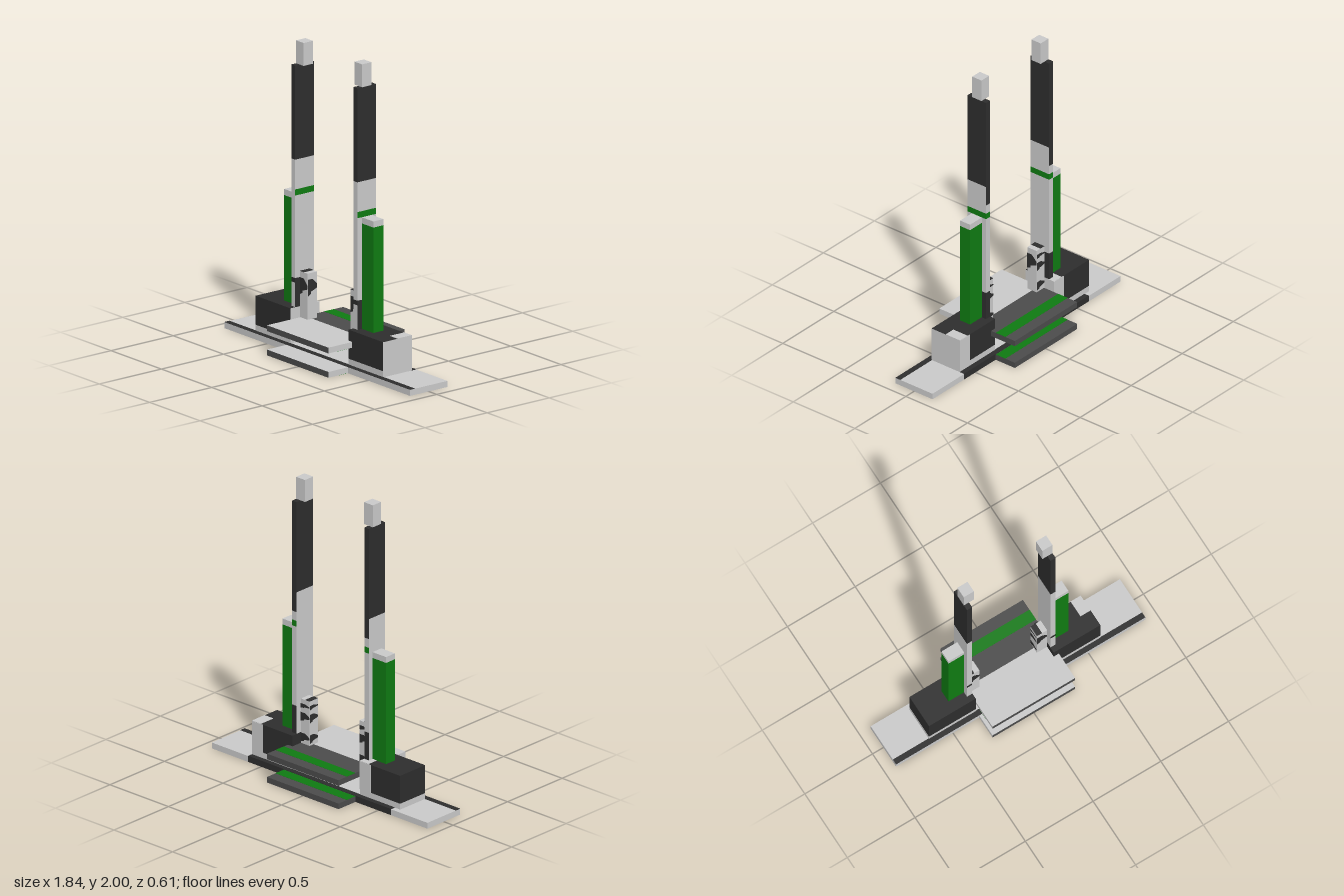
import * as THREE from 'three';

const mat = (name, color) => {
  const m = new THREE.MeshStandardMaterial({ color });
  m.name = name;
  return m;
};

export function createModel() {
  const root = new THREE.Group();
  root.name = 'twinMastPlatform';
  const L = mat('light grey', 0xc9c9c9);
  const D = mat('charcoal', 0x2d2d2d);
  const M = mat('mid grey', 0x4b4b4b);
  const G = mat('green', 0x0f7a12);

  // Box from ranges; m is one material or six (+x, -x, +y, -y, +z, -z)
  const box = (parent, name, [x0, x1], [y0, y1], [z0, z1], m) => {
    const mesh = new THREE.Mesh(new THREE.BoxGeometry(x1 - x0, y1 - y0, z1 - z0), m);
    mesh.position.set((x0 + x1) / 2, (y0 + y1) / 2, (z0 + z1) / 2);
    mesh.name = name;
    parent.add(mesh);
    return mesh;
  };
  const T = 0.002; // thickness of painted plates

  // Long base with dark edging
  const base = new THREE.Group();
  base.name = 'base';
  root.add(base);
  box(base, 'baseMiddle', [-0.61, 0.61], [0, 0.04], [-0.15, 0.15], [L, L, L, L, L, D]);
  for (const s of [-1, 1]) {
    const xs = s < 0 ? [-0.92, -0.61] : [0.61, 0.92];
    box(base, 'baseEnd', xs, [0, 0.04], [-0.15, 0.15], L);
  }
  box(base, 'frontEdging', [-0.92, 0.92], [0.04, 0.04 + T], [0.112, 0.15], D);
  box(base, 'backEdging', [-0.61, 0.61], [0.04, 0.04 + T], [-0.15, -0.112], D);

  // Two platform plates, light in front and darker with a green stripe behind
  for (const [y0, y1] of [[0.001, 0.039], [0.16, 0.198]]) {
    const deck = new THREE.Group();
    deck.name = 'platform';
    root.add(deck);
    const xs = [-0.307, 0.303];
    box(deck, 'platformFront', xs, [y0, y1], [0, 0.307], [L, L, L, M, M, M]);
    box(deck, 'platformBack', xs, [y0, y1], [-0.307, 0], [M, M, M, L, M, M]);
    box(deck, 'topStripe', xs, [y1, y1 + 0.001], [-0.23, -0.153], G);
    box(deck, 'undersideStripe', xs, [y0 - 0.001, y0], [0.153, 0.23], G);
  }

  // Notched dark mark: an arrow in the u, v plane, pointing along +u
  const markShape = (w, v0, v1) => {
    const h = v1 - v0;
    const s = new THREE.Shape();
    [[0, 0], [0.35, 0.12], [0.35, 0.25], [1, 0.42], [1, 0.65], [0.5, 1], [0, 1]]
      .forEach(([u, v], i) => s[i ? 'lineTo' : 'moveTo']((u - 0.5) * w, v0 + v * h));
    return new THREE.ShapeGeometry(s);
  };

  // Short inner post with dark marks on its four sides
  const innerPost = (parent, x0) => {
    const w = 0.075, y1 = 0.5;
    const post = new THREE.Group();
    post.name = 'innerPost';
    post.position.x = x0 + w / 2;
    parent.add(post);
    box(post, 'postBody', [-w / 2, w / 2], [0.04, y1], [-0.0375, 0.0375], L);
    box(post, 'postTopMark', [-w / 2, 0], [y1, y1 + T], [-0.0375, 0.0375], D);
    for (let side = 0; side < 4; side++) {
      const bands = side < 2 ? [[0.08, 0.14], [0.35, 0.46]]
        : [[0.08, 0.14], [0.21, 0.27], [0.35, 0.41], [0.44, 0.47]];
      for (const [a, b] of bands) {
        const mark = new THREE.Mesh(markShape(w, a, b), D);
        mark.name = 'postMark';
        const turn = side * Math.PI / 2;
        mark.rotation.y = turn;
        mark.position.set(Math.sin(turn) * 0.039, 0, Math.cos(turn) * 0.039);
        post.add(mark);
      }
    }
  };

  // Housings, masts and posts on each side
  const sides = [
    { name: 'rightTower', housing: -0.655, mast: -0.35, green: -0.465, tip: -0.35, post: -0.31 },
    { name: 'leftTower', housing: 0.265, mast: 0.267, green: 0.305, tip: 0.23, post: 0.19 },
  ];
  for (const p of sides) {
    const tower = new THREE.Group();
    tower.name = p.name;
    root.add(tower);

    // Housing: light plinth, dark body, light outer end
    const h0 = p.housing, h1 = h0 + 0.345, zs = [-0.115, 0.115];
    box(tower, 'housingPlinth', [h0, h1], [0.04, 0.08], zs, L);
    box(tower, 'housingBody', [h0, h1], [0.08, 0.27], zs, [L, D, D, D, D, D]);
    box(tower, 'housingTopPatch', [h1 - 0.075, h1], [0.27, 0.27 + T], [-0.115, 0], L);
    box(tower, 'housingBackPatch', [h1 - 0.095, h1], [0.08, 0.27], [-0.115 - T, -0.115], L);

    // Mast: stacked bands
    const mx = [p.mast, p.mast + 0.038], mz = [-0.075, 0.075];
    box(tower, 'mastFoot', mx, [0.27, 0.43], mz, [D, L, D, D, L, D]);
    box(tower, 'mastCollar', mx, [0.43, 0.46], mz, [D, L, D, D, D, D]);
    box(tower, 'mastLower', mx, [0.46, 1.0], mz, L);
    box(tower, 'mastBand', mx, [1.0, 1.04], mz, [G, L, L, L, L, G]);
    box(tower, 'mastMiddle', mx, [1.04, 1.1], mz, L);
    box(tower, 'mastNeck', mx, [1.1, 1.235], mz, [L, L, L, L, L, D]);
    box(tower, 'mastUpper', mx, [1.235, 1.85], mz, D);
    box(tower, 'mastTip', [p.tip, p.tip + 0.075], [1.85, 2], [-0.0375, 0.0375], L);

    // Green column with light cap
    const gx = [p.green, p.green + 0.115], gz = [-0.04, 0.04];
    box(tower, 'greenColumn', gx, [0.27, 0.96], gz, G);
    box(tower, 'columnCap', gx, [0.96, 1.0], gz, L);

    innerPost(tower, p.post);
  }
  return root;
}
